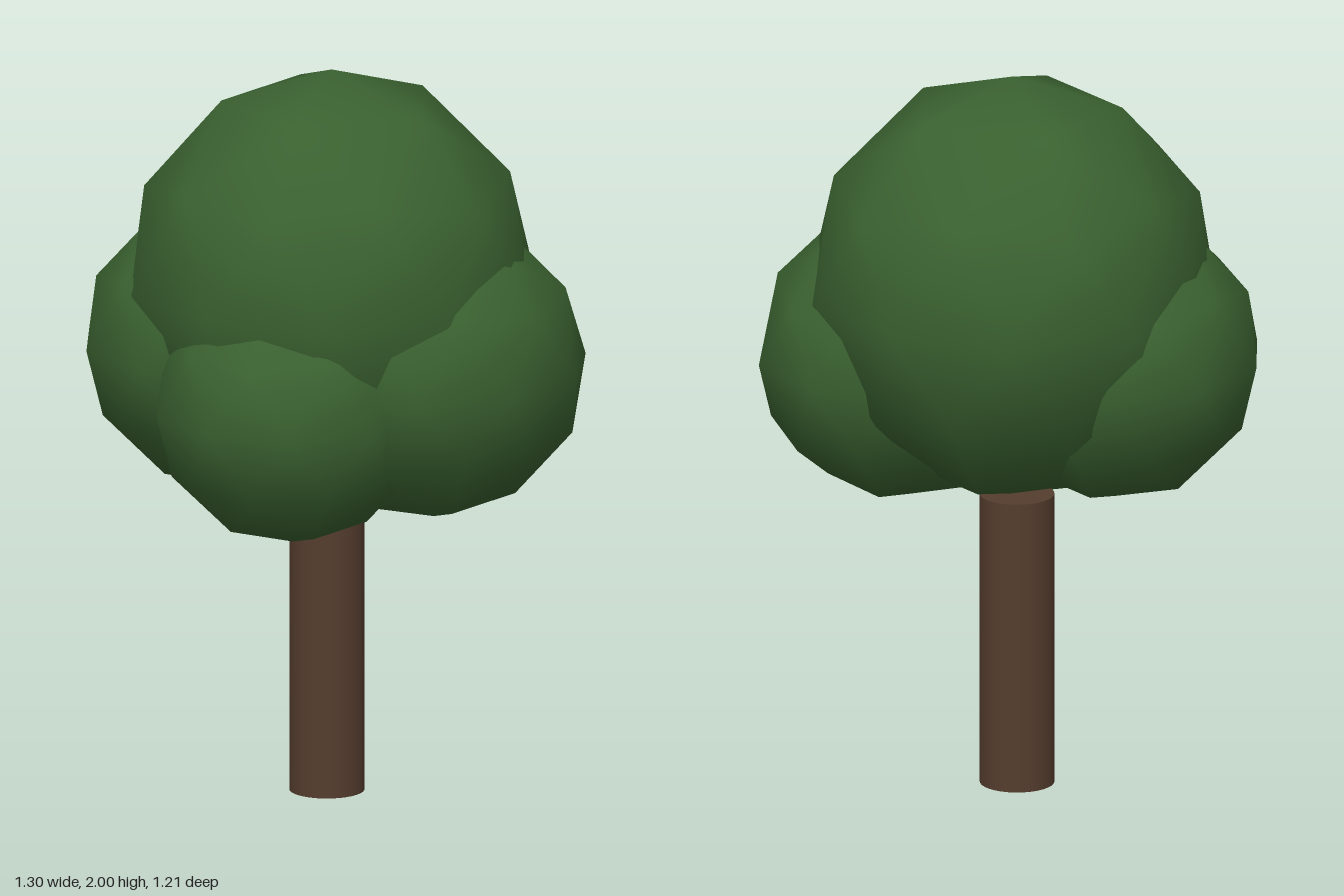
import * as THREE from 'three';

const bark = new THREE.MeshStandardMaterial({ color: 0x553d2e });
bark.name = 'bark brown';
const leaf = new THREE.MeshStandardMaterial({ color: 0x3a6130 });
leaf.name = 'leaf green';

// Smooth-shaded icosphere with a corner straight up, stretched to the given radii
function foliage(name, [x, y, z], [rx, ry, rz]) {
  const geo = new THREE.IcosahedronGeometry(1, 1);
  geo.rotateZ(-Math.atan(2 / (1 + Math.sqrt(5))));
  geo.scale(rx, ry, rz);
  const mesh = new THREE.Mesh(geo, leaf);
  mesh.name = name;
  mesh.position.set(x, y, z);
  return mesh;
}

export function createModel() {
  const tree = new THREE.Group();
  tree.name = 'tree';

  // Straight capped trunk
  const height = 0.815;
  const trunk = new THREE.Mesh(new THREE.CylinderGeometry(0.101, 0.101, height, 32), bark);
  trunk.name = 'trunk';
  trunk.position.set(-0.016, height / 2, -0.02);
  tree.add(trunk);

  // Crown: one large clump with three smaller ones around its lower half
  tree.add(
    foliage('mainCrown', [-0.015, 1.41, -0.04], [0.565, 0.59, 0.565]),
    foliage('frontClump', [0.05, 1.125, 0.22], [0.382, 0.375, 0.38]),
    foliage('leftClump', [0.27, 1.2, -0.12], [0.397, 0.415, 0.455]),
    foliage('rightClump', [-0.27, 1.23, 0.08], [0.4, 0.4, 0.404]),
  );
  return tree;
}
